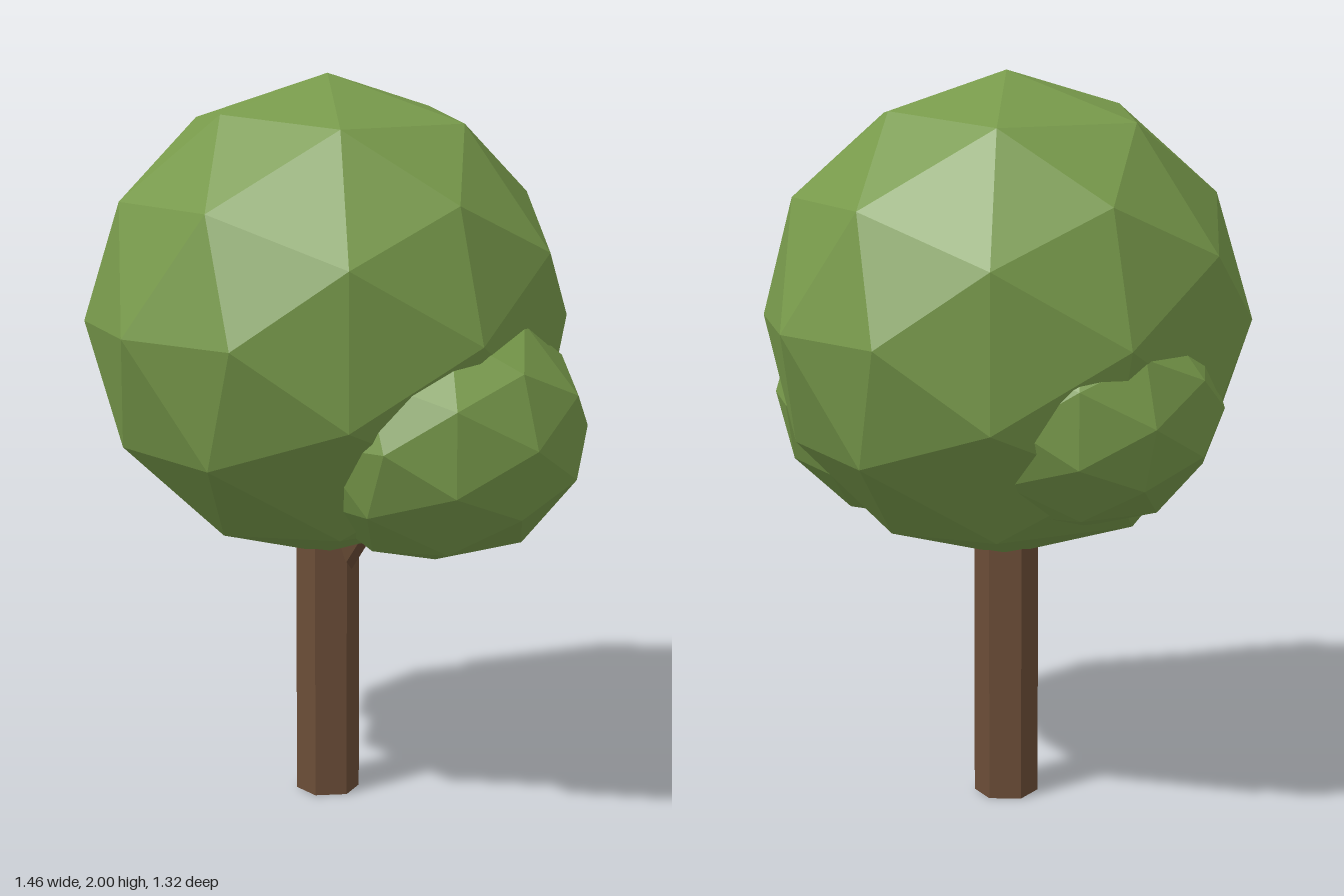
import * as THREE from 'three';

const leafGreen = new THREE.MeshStandardMaterial({ color: 0x789a4b, flatShading: true });
leafGreen.name = 'leafGreen';
const barkBrown = new THREE.MeshStandardMaterial({ color: 0x6b4d37, flatShading: true });
barkBrown.name = 'barkBrown';

// Faceted foliage ball, squashed to the given radii
function foliage(name, radii, position) {
  const geometry = new THREE.IcosahedronGeometry(1, 1);
  geometry.rotateY(Math.PI / 2);
  geometry.scale(...radii);
  const mesh = new THREE.Mesh(geometry, leafGreen);
  mesh.name = name;
  mesh.position.set(...position);
  return mesh;
}

// Straight piece of wood between two points
function wood(name, from, to, radius, sides, turn) {
  const a = new THREE.Vector3(...from);
  const b = new THREE.Vector3(...to);
  const axis = b.clone().sub(a);
  const geometry = new THREE.CylinderGeometry(radius, radius, axis.length(), sides);
  geometry.rotateY(turn);
  const mesh = new THREE.Mesh(geometry, barkBrown);
  mesh.name = name;
  mesh.position.copy(a).add(b).multiplyScalar(0.5);
  mesh.quaternion.setFromUnitVectors(new THREE.Vector3(0, 1, 0), axis.normalize());
  return mesh;
}

export function createModel() {
  const tree = new THREE.Group();
  tree.name = 'tree';

  // Six-sided trunk with a corner on each side, and a short branch to the left
  tree.add(wood('trunk', [-0.042, 0, 0], [-0.042, 1.0, 0], 0.088, 6, Math.PI / 6));
  tree.add(wood('branch', [0, 0.655, -0.012], [0.2, 0.95, -0.06], 0.035, 6, 0));

  // Large crown and two smaller clumps of leaves
  tree.add(foliage('crown', [0.66, 0.66, 0.66], [-0.042, 1.34, 0]));
  tree.add(foliage('leftClump', [0.41, 0.36, 0.405], [0.32, 1.08, -0.09]));
  tree.add(foliage('rightClump', [0.355, 0.32, 0.365], [-0.375, 1.145, 0.055]));

  return tree;
}
